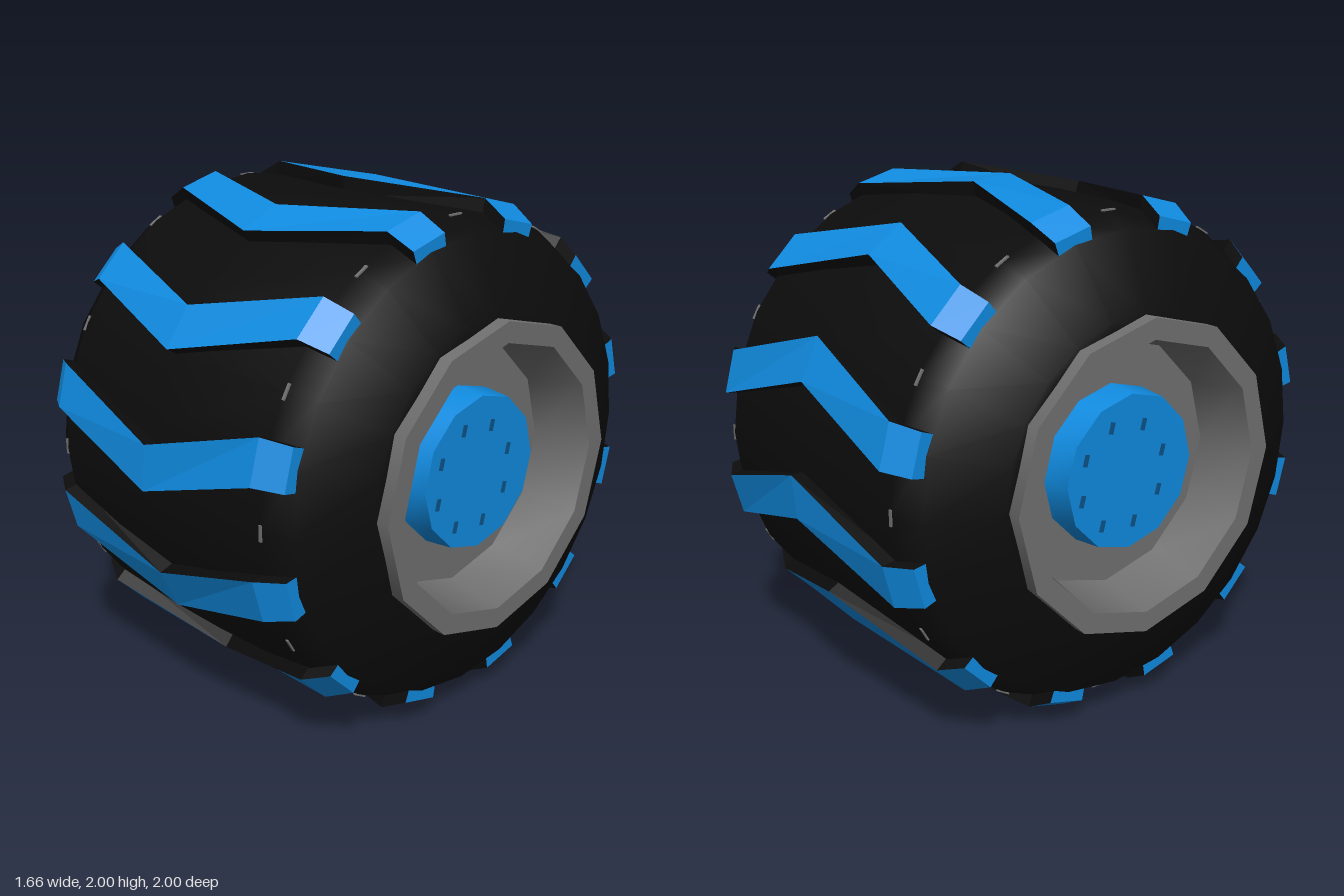
import * as THREE from 'three';
import { toCreasedNormals } from 'three/addons/utils/BufferGeometryUtils.js';

const mat = (name, color, extra = {}) => {
  const m = new THREE.MeshStandardMaterial({ color, ...extra });
  m.name = name;
  return m;
};

// Revolve [radius, x] points around the x axis
function revolve(points, segments, crease) {
  const g = new THREE.LatheGeometry(points.map(([r, x]) => new THREE.Vector2(r, x)), segments);
  g.rotateZ(-Math.PI / 2);
  return crease ? toCreasedNormals(g, crease) : g;
}

// Geometry from a list of four-cornered faces
function quads(faces) {
  const pos = [];
  for (const [a, b, c, d] of faces) for (const p of [a, b, c, a, c, d]) pos.push(...p);
  const g = new THREE.BufferGeometry();
  g.setAttribute('position', new THREE.Float32BufferAttribute(pos, 3));
  g.computeVertexNormals();
  return g;
}

// Chevron tread bar: painted outer faces and ends, black flanks
function treadGeometries() {
  const width = 10;
  // x, start angle, outer radius, sunken radius
  const stations = [
    [-0.66, 10, 0.925, 0.87], [-0.555, 10, 0.985, 0.92], [0, 0, 1, 0.93],
    [0.555, 10, 0.985, 0.92], [0.66, 10, 0.925, 0.87],
  ];
  const at = (x, deg, r) => {
    const a = THREE.MathUtils.degToRad(deg);
    return [x, r * Math.sin(a), r * Math.cos(a)];
  };
  const rings = stations.map(([x, a, top, low]) => ({
    t0: at(x, a, top), t1: at(x, a + width, top),
    b0: at(x, a, low), b1: at(x, a + width, low),
  }));
  const outer = [], flanks = [];
  for (let i = 0; i < rings.length - 1; i++) {
    const p = rings[i], q = rings[i + 1];
    outer.push([p.t0, q.t0, q.t1, p.t1]);
    flanks.push([p.b0, q.b0, q.t0, p.t0], [p.b1, p.t1, q.t1, q.b1]);
  }
  const s = rings[0], e = rings[rings.length - 1];
  outer.push([s.b0, s.t0, s.t1, s.b1], [e.b0, e.b1, e.t1, e.t0]);
  return [quads(outer), quads(flanks)];
}

export function createModel() {
  const model = new THREE.Group();
  model.name = 'wheel';
  const wheel = new THREE.Group();
  wheel.name = 'wheelBody';
  wheel.position.y = 1;
  model.add(wheel);

  const rubber = mat('black rubber', 0x0c0c0c);
  const blue = mat('bright blue', 0x108be0);
  const grey = mat('rim grey', 0x707070);
  const darkBlue = mat('dark blue', 0x0b5488);

  const add = (parent, name, geometry, material) => {
    const m = new THREE.Mesh(geometry, material);
    m.name = name;
    parent.add(m);
    return m;
  };

  // Tire
  add(wheel, 'tire', revolve([
    [0.58, -0.78], [0.61, -0.775], [0.88, -0.665], [0.94, -0.56], [0.95, 0],
    [0.94, 0.56], [0.88, 0.665], [0.61, 0.775], [0.58, 0.78],
  ], 24), rubber);

  // Twelve-sided rim with a recessed dish on each side
  add(wheel, 'rim', revolve([
    [0.2, -0.6], [0.475, -0.6], [0.52, -0.83], [0.6, -0.83],
    [0.6, 0.83], [0.52, 0.83], [0.475, 0.6], [0.2, 0.6],
  ], 12, 0.6), grey);

  // Tread bars
  const [outer, flanks] = treadGeometries();
  for (let i = 0; i < 12; i++) {
    const tread = new THREE.Group();
    tread.name = 'treadBar';
    tread.rotation.x = (-i * Math.PI) / 6;
    add(tread, 'treadFace', outer, blue);
    add(tread, 'treadFlanks', flanks, rubber);
    wheel.add(tread);
  }

  // Hub, lug marks and small shoulder marks, repeated on both sides
  const hubGeo = revolve([[0.31, 0.59], [0.298, 0.72], [0, 0.72]], 12, 0.6);
  const lugGeo = new THREE.BoxGeometry(0.008, 0.045, 0.02);
  const markGeo = new THREE.BoxGeometry(0.012, 0.006, 0.06);
  for (const turn of [0, Math.PI]) {
    const side = new THREE.Group();
    side.name = 'wheelSide';
    side.rotation.y = turn;
    wheel.add(side);
    add(side, 'hub', hubGeo, blue);
    for (let i = 0; i < 8; i++) {
      const a = THREE.MathUtils.degToRad(28 + i * 45);
      const lug = add(side, 'lugMark', lugGeo, darkBlue);
      lug.position.set(0.719, -0.005 + 0.2 * Math.sin(a), 0.037 + 0.2 * Math.cos(a));
      lug.rotation.x = -0.25;
    }
    for (let i = 0; i < 12; i++) {
      const a = (i * Math.PI) / 6;
      const mark = add(side, 'shoulderMark', markGeo, grey);
      mark.position.set(0.565, 0.937 * Math.cos(a), 0.937 * Math.sin(a));
      mark.rotation.x = a;
    }
  }
  return model;
}
